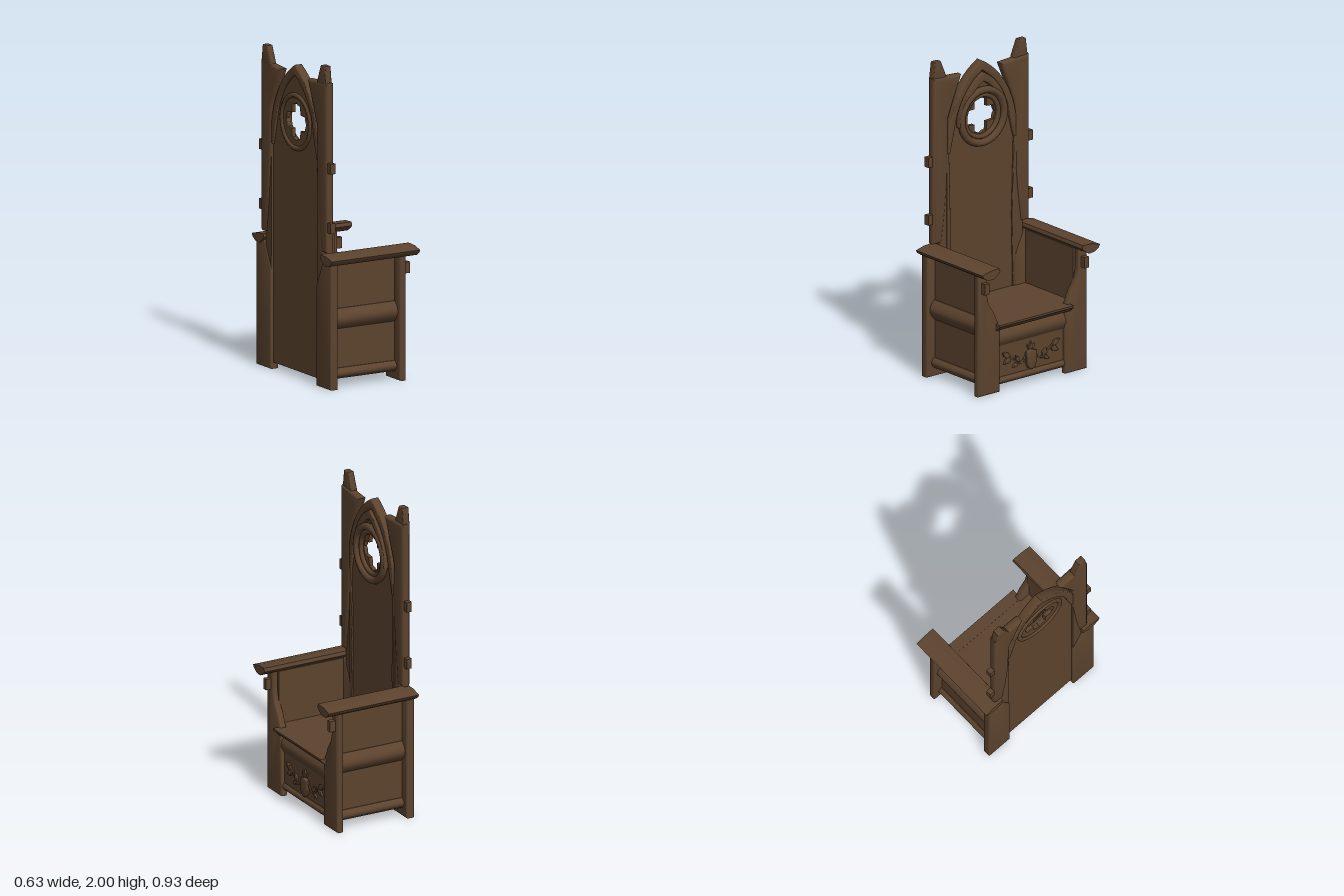
import * as THREE from 'three';
import { toCreasedNormals } from 'three/addons/utils/BufferGeometryUtils.js';

const wood = new THREE.MeshStandardMaterial({ color: 0x5c432e });
wood.name = 'dark oak';

const shapeOf = (pts) => new THREE.Shape(pts.map(([a, b]) => new THREE.Vector2(a, b)));
const mirrorPts = (pts, s) => pts.map(([z, y]) => [z * s, y]);

function add(parent, name, geo, crease = 0.6) {
  const mesh = new THREE.Mesh(toCreasedNormals(geo, crease), wood);
  mesh.name = name;
  parent.add(mesh);
}

// Extrude a (z, y) outline from x0 to x1, with an optional rounding kept inside that span
function alongX(shape, x0, x1, bevel = 0, bevelWidth = bevel) {
  const geo = new THREE.ExtrudeGeometry(shape, {
    depth: x1 - x0 - 2 * bevel, bevelEnabled: bevel > 0, bevelSize: bevelWidth,
    bevelOffset: -bevelWidth, bevelThickness: bevel, bevelSegments: 3,
  });
  return geo.rotateY(-Math.PI / 2).translate(x1 - bevel, 0, 0);
}

// Extrude an (x, y) outline across z, centred
function alongZ(shape, width) {
  return new THREE.ExtrudeGeometry(shape, { depth: width, bevelEnabled: false }).translate(0, 0, -width / 2);
}

function box(x0, x1, y0, y1, z0, z1) {
  return new THREE.BoxGeometry(x1 - x0, y1 - y0, Math.abs(z1 - z0))
    .translate((x0 + x1) / 2, (y0 + y1) / 2, (z0 + z1) / 2);
}

// Outline of a rail whose face bulges from base to base + bulge
function bulgeProfile(back, base, bulge, y0, y1) {
  const pts = [[back, y0]];
  for (let i = 0; i <= 10; i++) {
    const t = i / 10;
    pts.push([base + bulge * Math.sin(Math.PI * t), y0 + (y1 - y0) * t]);
  }
  pts.push([back, y1]);
  return pts;
}

// Pointed arch curve from one springing point to the other, w half width
function archCurve(w, spring, apex) {
  const rise = apex - spring;
  const curve = new THREE.CubicBezierCurve(
    new THREE.Vector2(w, spring), new THREE.Vector2(w * 0.9, spring + rise * 0.45),
    new THREE.Vector2(w * 0.5, spring + rise * 0.82), new THREE.Vector2(0, apex));
  const half = curve.getPoints(10).map((p) => [p.x, p.y]);
  return [...half, ...mirrorPts(half.slice(0, -1).reverse(), -1)];
}

// Arched band between an outer and an inner curve, open below, running down to a narrow foot
function archBand(outer, inner, foot) {
  return shapeOf([[outer[0], foot], ...archCurve(...outer), [-outer[0], foot],
    [-outer[0] + 0.016, foot], ...archCurve(...inner).reverse(), [outer[0] - 0.016, foot]]);
}

const roseY = 1.585;
function quatrefoil() {
  const radii = [0.118, 0.108, 0.112, 0.07, 0.112, 0.108];
  const offs = [0, 0.18, 0.42, Math.PI / 4, Math.PI / 2 - 0.42, Math.PI / 2 - 0.18];
  const pts = [];
  for (let q = 0; q < 4; q++) {
    offs.forEach((o, i) => {
      const a = q * Math.PI / 2 + o;
      pts.push([radii[i] * Math.cos(a), roseY + radii[i] * Math.sin(a)]);
    });
  }
  return pts;
}

function buildBack(root) {
  const back = new THREE.Group();
  back.name = 'back';
  root.add(back);

  const panel = shapeOf([[0.265, 0.04], ...archCurve(0.265, 1.53, 1.93), [-0.265, 0.04]]);
  panel.holes.push(shapeOf(quatrefoil()));
  add(back, 'backPanel', alongX(panel, -0.285, -0.26));

  // Pointed mouldings around the rose
  add(back, 'archMoulding', alongX(archBand([0.268, 1.54, 1.94], [0.215, 1.55, 1.875], 1.4), -0.298, -0.242, 0.007));
  add(back, 'innerArch', alongX(archBand([0.192, 1.6, 1.87], [0.15, 1.61, 1.81], 1.55), -0.27, -0.228, 0.006));

  // Rose window rings, front and rear
  for (const [x, r, t] of [[-0.24, 0.168, 0.024], [-0.252, 0.132, 0.016], [-0.283, 0.165, 0.016]]) {
    const ring = new THREE.TorusGeometry(r, t, 8, 28).rotateY(Math.PI / 2).translate(x, roseY, 0);
    add(back, 'roseRing', ring, 1.2);
  }

  for (const s of [1, -1]) {
    // Slim edge strip beside the panel
    add(back, 'edgeStrip', alongX(shapeOf(mirrorPts(
      [[0.275, 0.44], [0.25, 0.44], [0.242, 0.9], [0.256, 1.42], [0.275, 1.5]], s)), -0.275, -0.25, 0.004));
    // Back post, rounded, flaring inwards at the top
    const post = [[0.38, 0.84], [0.38, 1.9], [0.155, 1.885], [0.185, 1.81], [0.225, 1.715], [0.262, 1.62],
      [0.264, 1.3], [0.285, 1.05], [0.312, 0.84]];
    add(back, 'backPost', alongX(shapeOf(mirrorPts(post, s)), -0.305, -0.247, 0.018, 0.022), 0.8);
    add(back, 'innerPost', alongX(shapeOf(mirrorPts(
      [[0.33, 0.44], [0.33, 0.87], [0.29, 1.2], [0.262, 1.35], [0.262, 0.44]], s)), -0.298, -0.255, 0.006));
    const tip = [[0.376, 1.88], [0.36, 2], [0.312, 2], [0.27, 1.9], [0.27, 1.88]];
    add(back, 'postFinial', alongX(shapeOf(mirrorPts(tip, s)), -0.303, -0.26, 0.006));
    for (const y of [1.0, 1.37]) {
      add(back, 'postPeg', box(-0.294, -0.26, y - 0.032, y + 0.032, s * 0.36, s * 0.413));
    }
  }
}

function buildSides(root) {
  for (const s of [1, -1]) {
    const side = new THREE.Group();
    side.name = s > 0 ? 'leftSide' : 'rightSide';
    root.add(side);

    add(side, 'backLeg', alongX(shapeOf(mirrorPts(
      [[0.43, 0], [0.43, 0.79], [0.34, 0.79], [0.262, 0.62], [0.262, 0]], s)), -0.305, -0.25, 0.008));
    add(side, 'frontLeg', alongX(shapeOf(mirrorPts(
      [[0.43, 0], [0.43, 0.78], [0.362, 0.78], [0.362, 0.65], [0.345, 0.58], [0.305, 0.52],
        [0.275, 0.45], [0.26, 0.42], [0.26, 0]], s)), 0.187, 0.236, 0.012, 0.016), 0.8);
    add(side, 'legPeg', box(0.225, 0.272, 0.66, 0.73, s * 0.377, s * 0.41));

    add(side, 'sidePanel', box(-0.26, 0.2, 0.06, 0.78, s * 0.345, s * 0.37));
    for (const [y0, y1, bulge] of [[0.365, 0.49, 0.035], [0.055, 0.12, 0.022]]) {
      add(side, 'sideRail', alongX(shapeOf(mirrorPts(bulgeProfile(0.345, 0.375, bulge, y0, y1), s)), -0.26, 0.2));
    }

    // Moulded armrest
    add(side, 'armrest', alongX(shapeOf(mirrorPts(
      [[0.465, 0.808], [0.455, 0.79], [0.425, 0.77], [0.38, 0.765], [0.345, 0.785],
        [0.324, 0.805], [0.33, 0.828], [0.4, 0.825]], s)), -0.315, 0.312));
  }
}

function buildSeat(root) {
  const seat = new THREE.Group();
  seat.name = 'seat';
  root.add(seat);
  add(seat, 'seatBoard', box(-0.265, 0.215, 0.41, 0.44, -0.35, 0.35));
  add(seat, 'seatNosing', alongZ(shapeOf(
    [[0.2, 0.4], [0.24, 0.4], [0.252, 0.415], [0.272, 0.43], [0.272, 0.442], [0.2, 0.442]]), 0.585));
  add(seat, 'frontPanel', box(0.185, 0.208, 0.04, 0.41, -0.265, 0.265));
  for (const [y0, y1, bulge] of [[0.285, 0.39, 0.022], [0.04, 0.085, 0.014]]) {
    add(seat, 'frontRail', alongZ(shapeOf(bulgeProfile(0.19, 0.21, bulge, y0, y1)), 0.525));
  }
}

// Carved shield with leafy sprays on the front panel
function buildCarving(root) {
  const carving = new THREE.Group();
  carving.name = 'carving';
  root.add(carving);
  const shield = [[0.042, 0.2], [0.04, 0.13], [0.025, 0.1], [0, 0.085], [-0.025, 0.1], [-0.04, 0.13],
    [-0.042, 0.2], [0, 0.215]];
  add(carving, 'shield', alongX(shapeOf(shield), 0.2, 0.228, 0.008));
  const leaf = [[0, 0], [0.025, 0.018], [0.045, 0.015], [0.07, 0], [0.045, -0.015], [0.022, -0.018]];
  const addLeaf = (z, y, angle, size, s) => {
    const c = Math.cos(angle) * size, n = Math.sin(angle) * size;
    const pts = leaf.map(([a, b]) => [s * (z + a * c - b * n), y + a * n + b * c]);
    add(carving, 'leaf', alongX(shapeOf(pts), 0.2, 0.22, 0.004));
  };
  for (const s of [1, -1]) {
    const stem = new THREE.CatmullRomCurve3([[0.03, 0.2], [0.06, 0.15], [0.1, 0.145], [0.15, 0.19], [0.19, 0.21]]
      .map(([z, y]) => new THREE.Vector3(0.21, y, s * z)));
    add(carving, 'stem', new THREE.TubeGeometry(stem, 16, 0.007, 6), 1.2);
    addLeaf(0.165, 0.2, 0.5, 1, s);
    addLeaf(0.155, 0.195, -0.5, 1, s);
    addLeaf(0.09, 0.15, 1.0, 0.8, s);
    addLeaf(0.1, 0.145, -0.4, 0.7, s);
    addLeaf(0.005, 0.215, 0.9, 0.55, s);
  }
  addLeaf(0, 0.21, Math.PI / 2, 0.75, 1);
}

export function createModel() {
  const root = new THREE.Group();
  root.name = 'gothicThrone';
  buildBack(root);
  buildSides(root);
  buildSeat(root);
  buildCarving(root);
  return root;
}
